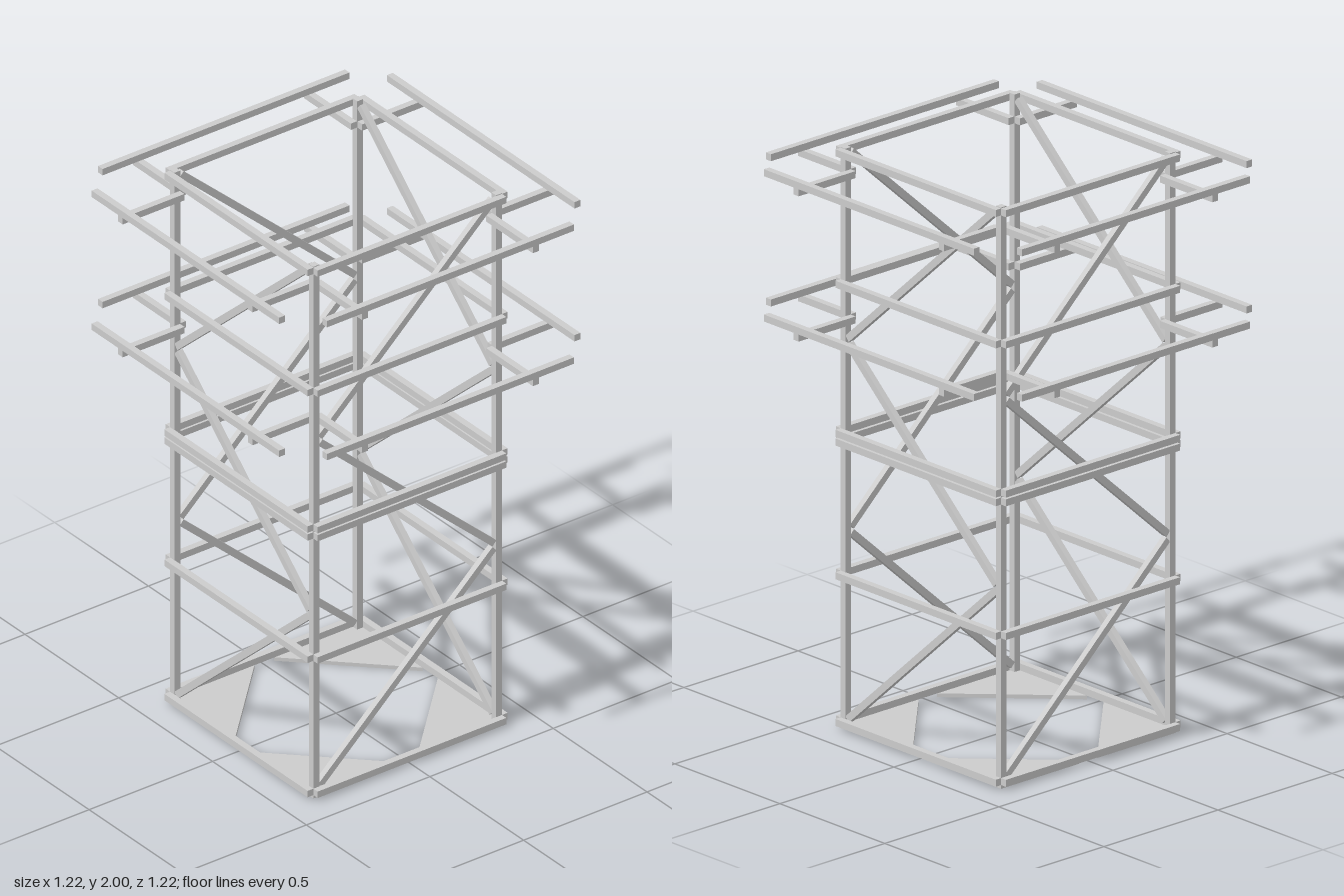
import * as THREE from 'three';

const T = 0.024; // bar thickness
const material = new THREE.MeshStandardMaterial({ color: 0xcccccc });

function bar(name, w, h, d, x, y, z) {
  const mesh = new THREE.Mesh(new THREE.BoxGeometry(w, h, d), material);
  mesh.name = name;
  mesh.position.set(x, y, z);
  return mesh;
}

// One face of the tower, built facing +z and turned into place
function createSide() {
  const side = new THREE.Group();
  side.name = 'towerSide';

  // Corner post
  side.add(bar('cornerPost', T, 1.987, T, 0.37, 1.0065, 0.37));

  // Horizontal rails on the outside of the posts
  for (const y of [0.025, 0.53, 0.99, 1.02, 1.533, 1.985]) {
    side.add(bar('horizontalRail', 0.764, T, T, 0, y, 0.393));
  }

  // Zigzag diagonal braces between the posts
  const rise = 0.635, run = 0.705;
  [0.355, 1.01, 1.665].forEach((y, i) => {
    const brace = bar('diagonalBrace', Math.hypot(rise, run), T, T * 0.9, 0, y, 0.37);
    brace.rotation.z = Math.atan2(rise, run) * (i % 2 ? -1 : 1);
    side.add(brace);
  });

  // Outriggers: two arms carrying an outer rail, on two levels
  for (const y of [1.412, 1.912]) {
    for (const s of [-1, 1]) {
      side.add(bar('outriggerArm', T, T, 0.25, s * 0.346, y, 0.485));
    }
    side.add(bar('outerRail', 1, T, T, 0, y + T, 0.598));
  }

  // Triangular corner base plate
  const shape = new THREE.Shape([
    new THREE.Vector2(0.382, -0.382),
    new THREE.Vector2(0.382, -0.04),
    new THREE.Vector2(0.04, -0.382),
  ]);
  const plateGeometry = new THREE.ExtrudeGeometry(shape, { depth: 0.013, bevelEnabled: false });
  plateGeometry.rotateX(-Math.PI / 2);
  const plate = new THREE.Mesh(plateGeometry, material);
  plate.name = 'basePlate';
  side.add(plate);

  return side;
}

export function createModel() {
  const model = new THREE.Group();
  model.name = 'latticeTower';
  for (let i = 0; i < 4; i++) {
    const side = createSide();
    side.rotation.y = i * Math.PI / 2;
    model.add(side);
  }
  return model;
}
